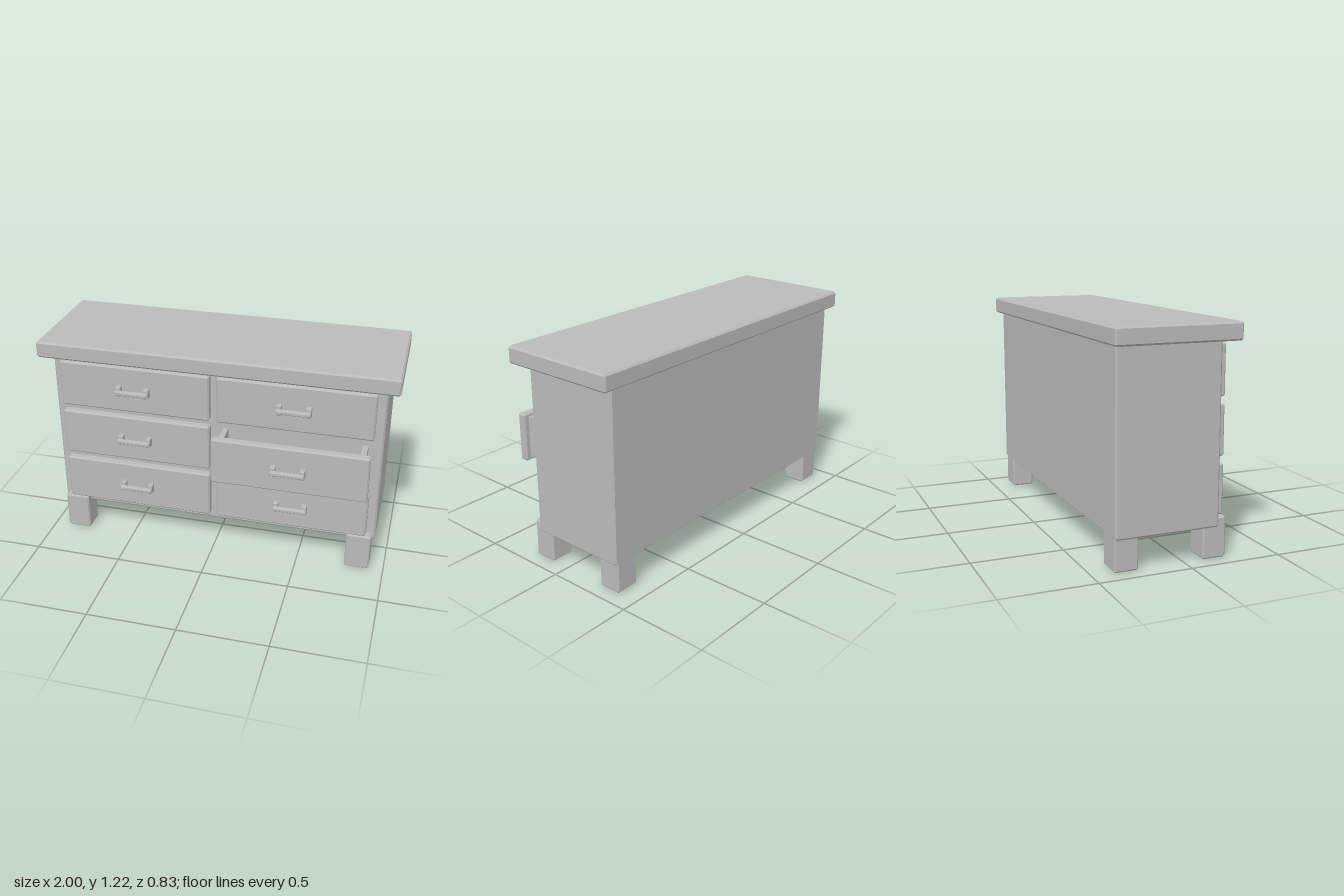
import * as THREE from 'three';
import { ConvexGeometry } from 'three/addons/geometries/ConvexGeometry.js';

const grey = new THREE.MeshStandardMaterial({ color: 0xbababa });
grey.name = 'plain grey';

// Box between two corners with all edges chamfered by c
function chamferBox(name, [x0, y0, z0], [x1, y1, z1], c) {
  const half = [(x1 - x0) / 2, (y1 - y0) / 2, (z1 - z0) / 2];
  const points = [];
  for (const sx of [-1, 1]) for (const sy of [-1, 1]) for (const sz of [-1, 1]) {
    for (let full = 0; full < 3; full++) {
      const p = half.map((h, i) => (i === full ? h : h - c));
      points.push(new THREE.Vector3(sx * p[0], sy * p[1], sz * p[2]));
    }
  }
  const mesh = new THREE.Mesh(new ConvexGeometry(points), grey);
  mesh.name = name;
  mesh.position.set((x0 + x1) / 2, (y0 + y1) / 2, (z0 + z1) / 2);
  return mesh;
}

function plainBox(name, [x0, y0, z0], [x1, y1, z1]) {
  const mesh = new THREE.Mesh(new THREE.BoxGeometry(x1 - x0, y1 - y0, z1 - z0), grey);
  mesh.name = name;
  mesh.position.set((x0 + x1) / 2, (y0 + y1) / 2, (z0 + z1) / 2);
  return mesh;
}

// Bar handle on two posts, its back at z = 0
function createHandle() {
  const handle = new THREE.Group();
  handle.name = 'handle';
  for (const s of [-1, 1]) {
    const x = s * 0.081;
    handle.add(chamferBox('handlePost', [x - 0.014, -0.027, -0.005], [x + 0.014, 0.027, 0.034], 0.003));
  }
  handle.add(chamferBox('handleBar', [-0.095, -0.012, 0.03], [0.095, 0.012, 0.056], 0.005));
  return handle;
}

// Drawer centred on x and y, its front panel's back at z = 0
function createDrawer(open) {
  const drawer = new THREE.Group();
  drawer.name = open ? 'openDrawer' : 'drawer';
  drawer.add(chamferBox('drawerFront', [-0.432, -0.135, 0], [0.432, 0.135, 0.048], 0.008));
  const handle = createHandle();
  handle.position.z = 0.048;
  drawer.add(handle);
  if (open) {
    // Hollow tray reaching back into the carcass
    const back = -0.14, front = 0.005, t = 0.03;
    drawer.add(plainBox('trayBottom', [-0.403, -0.117, back], [0.403, -0.117 + t, front]));
    for (const s of [-1, 1]) {
      const x = s * (0.403 - t / 2);
      drawer.add(plainBox('traySide', [x - t / 2, -0.117, back], [x + t / 2, 0.117, front]));
    }
  }
  return drawer;
}

export function createModel() {
  const model = new THREE.Group();
  model.name = 'dresser';

  model.add(chamferBox('top', [-1, 1.124, -0.416], [1, 1.218, 0.263], 0.01));
  model.add(chamferBox('carcass', [-0.935, 0.17, -0.387], [0.935, 1.135, 0.184], 0.01));

  // Four block feet
  for (const s of [-1, 1]) {
    const x = s * 0.847;
    for (const [name, z] of [['frontLeg', 0.168], ['backLeg', -0.32]]) {
      model.add(chamferBox(name, [x - 0.07, 0, z - 0.065], [x + 0.07, 0.218, z + 0.065], 0.008));
    }
  }

  // Two columns of three drawers, the middle left one pulled out
  for (const x of [-0.452, 0.452]) {
    [0.353, 0.661, 0.968].forEach((y, row) => {
      const open = x > 0 && row === 1;
      const drawer = createDrawer(open);
      drawer.position.set(x, y, open ? 0.312 : 0.184);
      model.add(drawer);
    });
  }
  return model;
}
